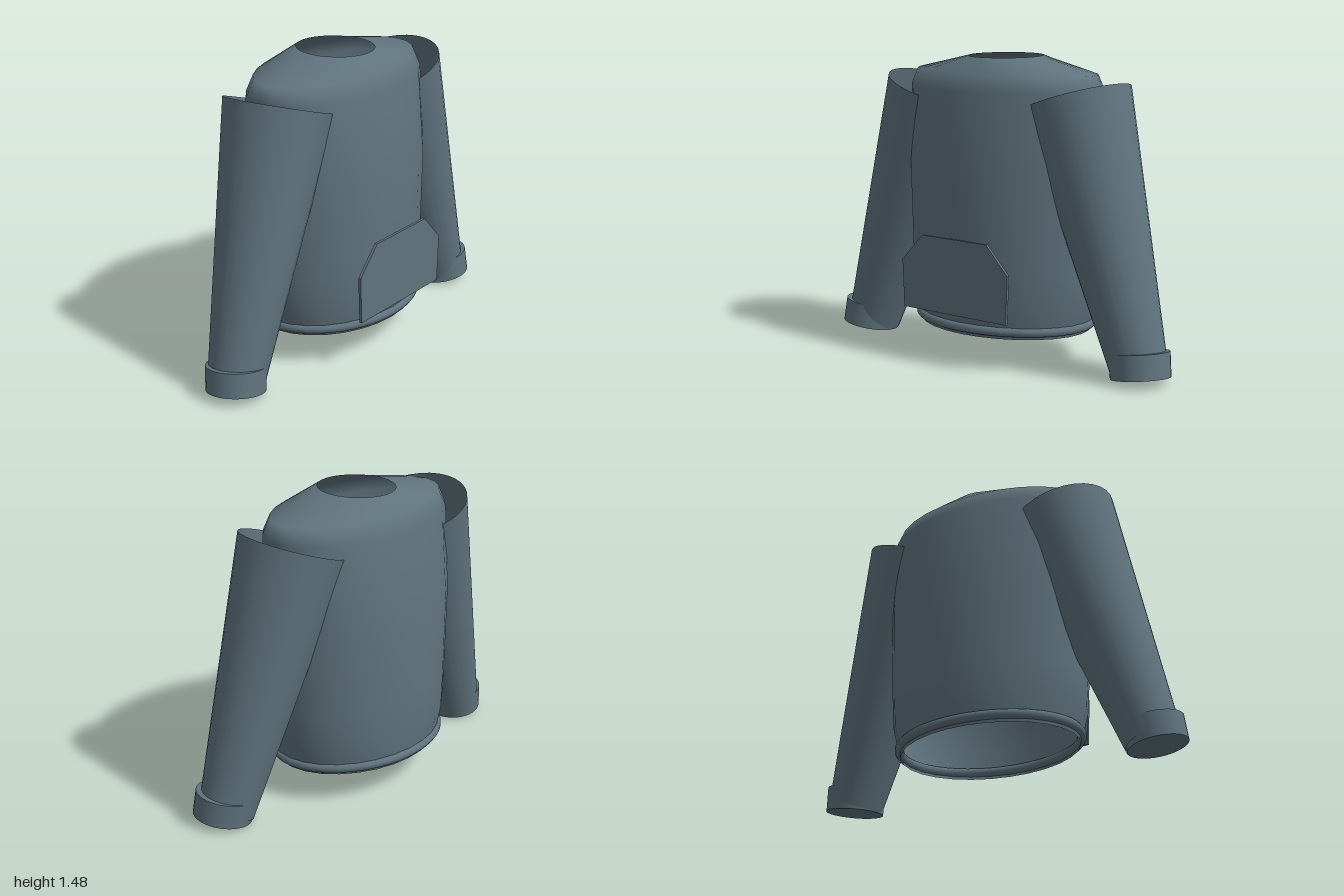
import * as THREE from 'three';
import { mergeVertices } from 'three/addons/utils/BufferGeometryUtils.js';

const CENTRE_Z = -0.0125;

// Open shell made of elliptical rings: [y, half width, half depth]
function ellipticalShell(rings, segments) {
  const profile = rings.map(([y]) => new THREE.Vector2(1, y));
  let geometry = new THREE.LatheGeometry(profile, segments);
  const pos = geometry.attributes.position;
  for (let i = 0; i < pos.count; i++) {
    const [y, rx, rz] = rings[i % rings.length];
    pos.setXYZ(i, pos.getX(i) * rx, y, pos.getZ(i) * rz + CENTRE_Z);
  }
  geometry.deleteAttribute('uv');
  geometry.deleteAttribute('normal');
  geometry = mergeVertices(geometry, 1e-4);
  geometry.computeVertexNormals();
  return geometry;
}

// Cylinder running between two points
function limb(top, bottom, rTop, rBottom, openEnded) {
  const axis = top.clone().sub(bottom);
  const geometry = new THREE.CylinderGeometry(rTop, rBottom, axis.length(), 32, 1, openEnded);
  const turn = new THREE.Quaternion().setFromUnitVectors(new THREE.Vector3(0, 1, 0), axis.normalize());
  geometry.applyQuaternion(turn);
  const mid = top.clone().add(bottom).multiplyScalar(0.5);
  return geometry.translate(mid.x, mid.y, mid.z);
}

export function createModel() {
  const group = new THREE.Group();
  const cloth = new THREE.MeshStandardMaterial({ color: 0x5f737d, side: THREE.DoubleSide });
  cloth.name = 'slate cloth';

  const add = (name, geometry) => {
    const mesh = new THREE.Mesh(geometry, cloth);
    mesh.name = name;
    group.add(mesh);
  };

  // Body, open at neck and waist
  add('body', ellipticalShell([
    [0.16, 0.46, 0.352],
    [0.31, 0.503, 0.372],
    [0.46, 0.515, 0.373],
    [0.91, 0.535, 0.373],
    [1.33, 0.545, 0.322],
    [1.41, 0.515, 0.282],
    [1.485, 0.18, 0.195],
  ], 28));

  // Rounded hem band around the waist
  const hemPoints = [];
  for (let i = 0; i < 32; i++) {
    const a = (i / 32) * Math.PI * 2;
    hemPoints.push(new THREE.Vector3(Math.cos(a) * 0.467, 0.197, Math.sin(a) * 0.355 + CENTRE_Z));
  }
  const hemPath = new THREE.CatmullRomCurve3(hemPoints, true);
  add('hem', new THREE.TubeGeometry(hemPath, 64, 0.023, 10, true));

  // Front pocket panel with cut upper corners
  const pocket = new THREE.Shape([
    [-0.318, 0.26], [0.318, 0.26], [0.328, 0.495],
    [0.2, 0.63], [-0.2, 0.63], [-0.328, 0.495],
  ].map(([x, y]) => new THREE.Vector2(x, y)));
  const pocketGeometry = new THREE.ExtrudeGeometry(pocket, { depth: 0.014, bevelEnabled: false });
  add('pocket', pocketGeometry.translate(0, 0, 0.375));

  // Sleeves and cuffs, mirrored
  for (const [side, s] of [['left', 1], ['right', -1]]) {
    const at = (x, y, z) => new THREE.Vector3(s * x, y, z);
    add(side + 'Sleeve', limb(at(0.428, 1.302, -0.012), at(0.845, 0.053, 0.047), 0.265, 0.135, true));
    add(side + 'Cuff', limb(at(0.842, 0.15, 0.049), at(0.859, 0.031, 0.06), 0.145, 0.143, false));
  }
  return group;
}
